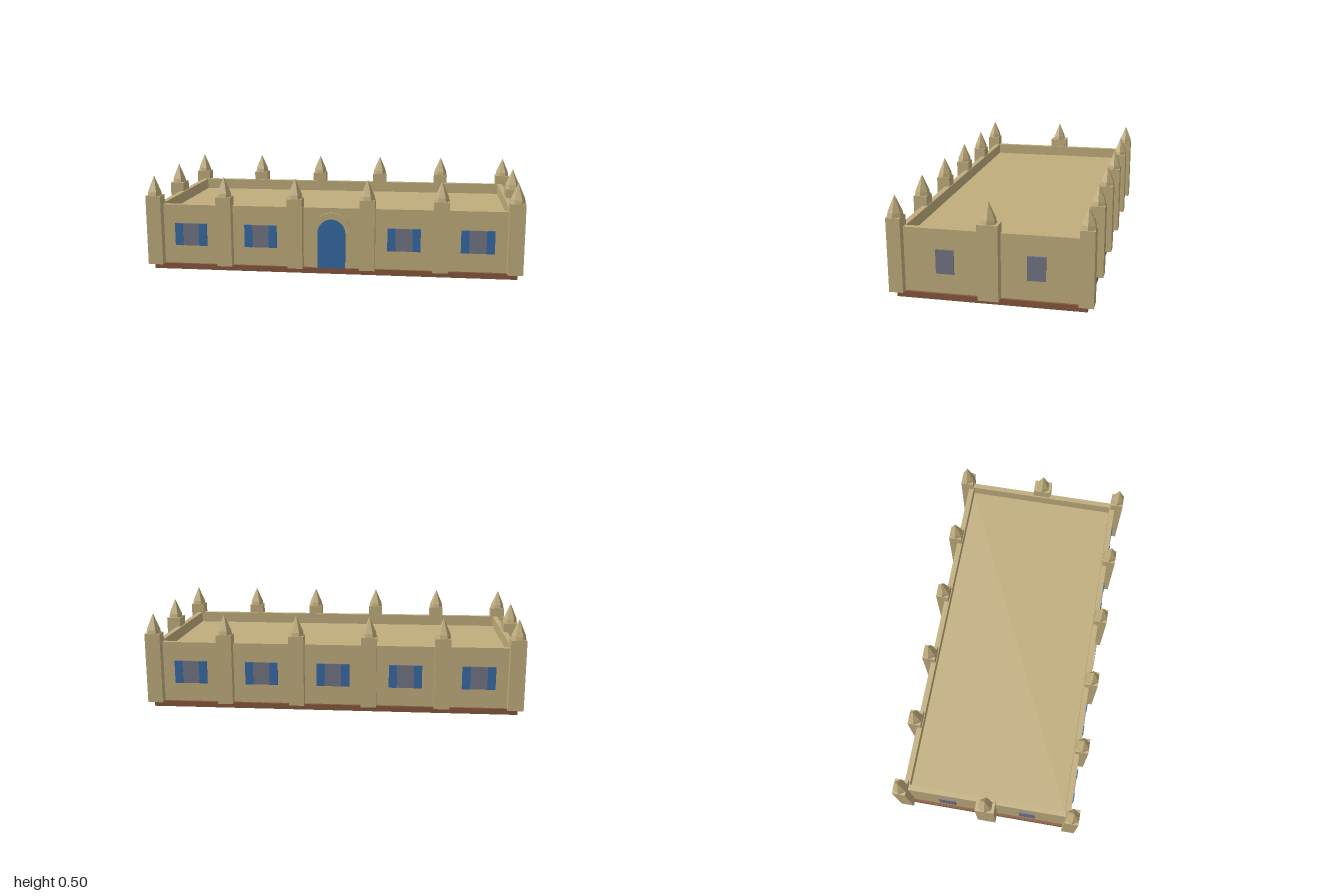
import * as THREE from 'three';

const mat = (name, color) => {
  const m = new THREE.MeshStandardMaterial({ color });
  m.name = name;
  return m;
};

export function createModel() {
  const stone = mat('sandstone', 0xc0ad7d);
  const brown = mat('brown base', 0x84573c);
  const blue = mat('blue paint', 0x366aa4);
  const glass = mat('grey glass', 0x727484);

  const model = new THREE.Group();
  model.name = 'hall';

  const add = (parent, name, geometry, material, x = 0, y = 0, z = 0) => {
    const mesh = new THREE.Mesh(geometry, material);
    mesh.name = name;
    mesh.position.set(x, y, z);
    parent.add(mesh);
    return mesh;
  };
  const box = (parent, name, material, w, h, d, x, y, z) =>
    add(parent, name, new THREE.BoxGeometry(w, h, d), material, x, y, z);

  // Base, parapet walls as one ring, sunken roof
  box(model, 'base', brown, 1.92, 0.03, 0.92, 0, 0.015, 0);
  const rect = (path, w, d) => path.moveTo(-w, -d).lineTo(w, -d).lineTo(w, d).lineTo(-w, d).closePath();
  const ring = rect(new THREE.Shape(), 0.946, 0.446);
  ring.holes.push(rect(new THREE.Path(), 0.917, 0.417));
  const wallGeo = new THREE.ExtrudeGeometry(ring, { depth: 0.32, bevelEnabled: false });
  wallGeo.rotateX(-Math.PI / 2);
  add(model, 'walls', wallGeo, stone, 0, 0.03, 0);
  box(model, 'roof', stone, 1.84, 0.02, 0.84, 0, 0.28, 0);

  // Pillars topped by six-sided spires with corners towards +x and -x
  const hex = (top, bottom, h) => {
    const g = new THREE.CylinderGeometry(top, bottom, h, 6, 1, false, Math.PI / 2).toNonIndexed();
    g.computeVertexNormals();
    return g;
  };
  const collarGeo = hex(0.034, 0.04, 0.025);
  const spireGeo = hex(0, 0.037, 0.085);
  const pillar = (w, d, x, z) => {
    const g = new THREE.Group();
    g.name = 'pillar';
    g.position.set(x, 0, z);
    box(g, 'shaft', stone, w, 0.37, d, 0, 0.215, 0);
    add(g, 'spireCollar', collarGeo, stone, 0, 0.4125, 0);
    add(g, 'spire', spireGeo, stone, 0, 0.4625, 0);
    model.add(g);
  };
  for (const side of [-1, 1]) {
    for (let i = 0; i < 6; i++) pillar(0.08, 0.07, -0.945 + i * 0.378, side * 0.456);
    pillar(0.075, 0.1, side * 0.9625, 0);
  }

  // Windows: glass pane with optional shutters, turned to face outwards
  const windowAt = (x, z, turn, shutters) => {
    const g = new THREE.Group();
    g.name = 'window';
    g.position.set(x, 0.19, z);
    g.rotation.y = turn;
    box(g, 'pane', glass, 0.088, 0.12, 0.009, 0, 0, 0.0035);
    if (shutters) {
      for (const s of [-1, 1]) box(g, 'shutter', blue, 0.042, 0.12, 0.012, s * 0.065, 0, 0.005);
    }
    model.add(g);
  };
  for (let i = -2; i <= 2; i++) {
    if (i !== 0) windowAt(i * 0.378, 0.446, 0, true);
    windowAt(i * 0.378, -0.446, Math.PI, true);
  }
  for (const side of [-1, 1]) {
    for (const z of [-0.22, 0.22]) windowAt(side * 0.946, z, side * Math.PI / 2, false);
  }

  // Arched doorway in the front wall
  const arch = (path, r, spring) => path.moveTo(-r, 0.03).lineTo(r, 0.03).lineTo(r, spring)
    .absarc(0, spring, r, 0, Math.PI, false).lineTo(-r, 0.03);
  const slab = (shape, depth) =>
    new THREE.ExtrudeGeometry(shape, { depth, bevelEnabled: false, curveSegments: 12 });
  const surround = arch(new THREE.Shape(), 0.1, 0.226);
  surround.holes.push(arch(new THREE.Path(), 0.073, 0.218));
  add(model, 'doorSurround', slab(surround, 0.012), stone, 0, 0, 0.444);
  add(model, 'door', slab(arch(new THREE.Shape(), 0.073, 0.218), 0.015), blue, 0, 0, 0.444);

  return model;
}
